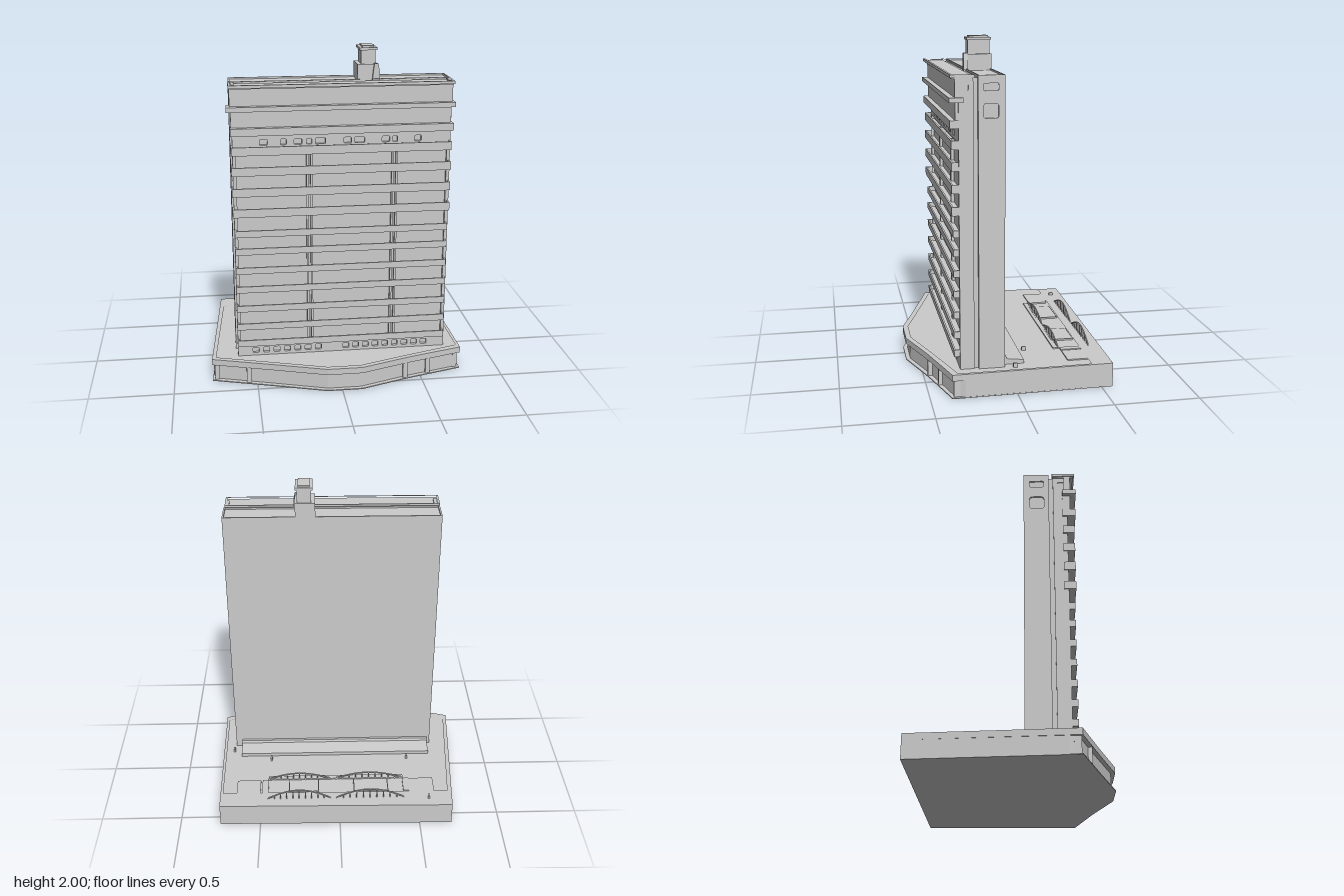
import * as THREE from 'three';

const mat = new THREE.MeshStandardMaterial({ color: 0xcccccc, flatShading: true });

function add(parent, name, geo) {
  const mesh = new THREE.Mesh(geo, mat);
  mesh.name = name;
  parent.add(mesh);
  return mesh;
}

// Box given by its limits on each axis
function box(parent, name, x0, x1, y0, y1, z0, z1) {
  const mesh = add(parent, name, new THREE.BoxGeometry(x1 - x0, y1 - y0, z1 - z0));
  mesh.position.set((x0 + x1) / 2, (y0 + y1) / 2, (z0 + z1) / 2);
  return mesh;
}

// Closed shape from pairs of coordinates
const poly = (pts, C = THREE.Shape) => new C(pts.map(([x, y]) => new THREE.Vector2(x, y)));
const rect = (x0, x1, y0, y1, C) => poly([[x0, y0], [x1, y0], [x1, y1], [x0, y1]], C);

// Rounded window opening
function opening(cx, cy, w, h) {
  const r = Math.min(w, h) * 0.2, a = w / 2, b = h / 2, p = new THREE.Path();
  p.moveTo(cx - a + r, cy - b);
  [[a, -b, a, -b + r, a, b - r], [a, b, a - r, b, -a + r, b],
    [-a, b, -a, b - r, -a, -b + r], [-a, -b, -a + r, -b, -a + r, -b]]
    .forEach(([qx, qy, ex, ey, lx, ly], i) => {
      if (i === 0) p.lineTo(cx + a - r, cy - b);
      p.quadraticCurveTo(cx + qx, cy + qy, cx + ex, cy + ey);
      p.lineTo(cx + lx, cy + ly);
    });
  return p;
}

const extrude = (shape, depth) =>
  new THREE.ExtrudeGeometry(shape, { depth, bevelEnabled: false, curveSegments: 3 });

// Plan outline (x, z) raised from y by a height, with optional inner outline cut out
function plan(parent, name, pts, y, height, hole) {
  const flip = ([x, z]) => [x, -z];
  const shape = poly(pts.map(flip));
  if (hole) shape.holes.push(poly(hole.map(flip), THREE.Path));
  const mesh = add(parent, name, extrude(shape, height).rotateX(-Math.PI / 2));
  mesh.position.y = y;
}

function buildPodium(g) {
  const outline = [[-0.70, -0.585], [0.75, -0.565], [0.765, 0.375], [0.42, 0.475],
    [0.12, 0.578], [-0.09, 0.578], [-0.42, 0.47], [-0.77, 0.36]];
  const wall = [[-0.70, -0.585], [0.75, -0.565], [0.762, 0.30], [0.735, 0.36], [0.41, 0.45],
    [0.115, 0.552], [-0.085, 0.552], [-0.41, 0.445], [-0.74, 0.34], [-0.76, 0.29]];
  const inner = [[-0.682, -0.45], [-0.59, -0.45], [0.65, -0.44], [0.735, -0.44], [0.745, 0.34],
    [0.41, 0.445], [0.115, 0.545], [-0.085, 0.545], [-0.41, 0.44], [-0.745, 0.335]];
  plan(g, 'podiumWall', wall, 0, 0.12);
  plan(g, 'podiumFoot', outline, 0, 0.006);
  plan(g, 'podiumDeck', outline, 0.106, 0.03);
  plan(g, 'podiumKerb', outline, 0.136, 0.007, inner);
  // Piers standing along the front edge
  for (const [x, z] of [[-0.55, 0.41], [0.40, 0.465], [0.55, 0.42], [-0.74, 0.345], [0.735, 0.355]])
    box(g, 'podiumPier', x - 0.014, x + 0.014, 0, 0.11, z - 0.03, z + 0.01);
}

function buildTerrace(g) {
  const top = 0.136;
  // Sloping lean-to roof against the back of the tower
  const lean = add(g, 'rearLeanTo', extrude(
    poly([[-0.06, top], [0.08, top], [0.08, 0.188], [0.045, 0.186], [0.04, 0.17], [-0.06, 0.158]]), 1.24)
    .rotateY(-Math.PI / 2));
  lean.position.x = 0.64;
  // Low edging of the sunken courts
  const frame = (name, x0, x1, z0, z1) => plan(g, name,
    [[x0, z0], [x1, z0], [x1, z1], [x0, z1]], top, 0.01,
    [[x0 + 0.006, z0 + 0.006], [x1 - 0.006, z0 + 0.006], [x1 - 0.006, z1 - 0.006], [x0 + 0.006, z1 - 0.006]]);
  frame('courtEdging', -0.31, -0.09, -0.44, -0.30);
  frame('courtEdging', 0.13, 0.32, -0.44, -0.30);
  box(g, 'terraceStep', -0.41, 0.45, top, top + 0.008, -0.312, -0.28);
  for (const [x0, x1] of [[-0.60, -0.44], [0.50, 0.65]])
    box(g, 'sideStep', x0, x1, top, top + 0.007, -0.45, -0.32);
  for (const [x0, x1] of [[-0.445, -0.405], [0.45, 0.49]])
    box(g, 'planter', x0, x1, top, top + 0.009, -0.44, -0.32);
  // Arched railings on posts
  const rail = (x0, x1, z, rise) => {
    const height = t => top + 0.012 + rise * Math.sin(Math.PI * t);
    const pts = [], n = 10;
    for (let i = 0; i <= n; i++) {
      const t = i / n, x = x0 + (x1 - x0) * t;
      pts.push(new THREE.Vector3(x, height(t), z));
      box(g, 'railingPost', x - 0.003, x + 0.003, top, height(t), z - 0.003, z + 0.003);
    }
    add(g, 'railing', new THREE.TubeGeometry(new THREE.CatmullRomCurve3(pts), 20, 0.005, 5));
  };
  rail(-0.40, 0.02, -0.50, 0.06);
  rail(0.06, 0.45, -0.50, 0.06);
  rail(-0.40, 0.02, -0.31, 0.04);
  rail(0.06, 0.45, -0.31, 0.04);
  // Small bollards
  for (const [x, z] of [[-0.56, -0.51], [0.69, 0], [-0.45, -0.1], [0.44, -0.1]])
    box(g, 'bollard', x - 0.006, x + 0.006, top, top + 0.025, z - 0.012, z + 0.012);
}

function buildRearSlab(g) {
  box(g, 'rearSlab', -0.61, 0.67, 0.1, 1.80, 0.06, 0.21);
  box(g, 'recessedJoint', -0.60, 0.66, 0.1, 1.795, 0.20, 0.24);
  // End walls with two openings high up
  for (const x of [0.68, -0.61]) {
    const shape = rect(0.06, 0.21, 0.1, 1.81);
    shape.holes.push(opening(0.138, 1.745, 0.085, 0.04), opening(0.138, 1.615, 0.085, 0.08));
    const end = add(g, 'rearEndWall', extrude(shape, 0.01).rotateY(-Math.PI / 2));
    end.position.x = x;
  }
  box(g, 'roofParapet', -0.62, 0.68, 1.79, 1.81, 0.06, 0.068);
  box(g, 'roofParapet', -0.62, 0.68, 1.79, 1.81, 0.202, 0.21);
}

function buildFrontSlab(g) {
  box(g, 'frontWall', -0.605, 0.665, 0.1, 1.795, 0.235, 0.30);
  // End walls, each with one opening near the top
  for (const x of [0.67, -0.59]) {
    const shape = rect(0.235, 0.317, 0.1, 1.81);
    shape.holes.push(opening(0.28, 1.745, 0.036, 0.035));
    const end = add(g, 'frontEndWall', extrude(shape, 0.02).rotateY(-Math.PI / 2));
    end.position.x = x;
  }
  // Paired vertical posts
  for (const x of [-0.165, 0.34])
    for (const s of [-0.012, 0.012])
      box(g, 'facadePost', x + s - 0.006, x + s + 0.006, 0.2, 1.42, 0.29, 0.318);
  // Pierced strips: ground floor and upper floor windows
  const strip = (name, y0, y1, cy, h, wins) => {
    const shape = rect(-0.605, 0.665, y0, y1);
    for (const [x, w] of wins) shape.holes.push(opening(x, cy, w, h));
    add(g, name, extrude(shape, 0.017)).position.z = 0.30;
  };
  const ground = [];
  for (let i = 0; i < 7; i++) ground.push([-0.50 + i * 0.064, 0.037]);
  for (let i = 0; i < 9; i++) ground.push([0.055 + i * 0.061, 0.037]);
  strip('groundWindowStrip', 0.13, 0.215, 0.17, 0.034, ground);
  strip('upperWindowStrip', 1.44, 1.53, 1.473, 0.034,
    [[-0.43, 0.045], [-0.315, 0.035], [-0.23, 0.045], [-0.165, 0.03], [-0.1, 0.06],
      [0.06, 0.045], [0.13, 0.06], [0.285, 0.045], [0.34, 0.028], [0.475, 0.04]]);
  // Balcony bands: hollow trough with a floor and an upright front
  const bands = [0.23, 0.34, 0.457, 0.58, 0.70, 0.82, 0.93, 1.06, 1.185, 1.31, 1.43];
  bands.forEach((y, i) => {
    const out = i > 6 ? 0.008 : 0, front = 0.35 + out, h = i > 6 ? 0.025 : 0.02;
    const band = add(g, 'balconyBand', extrude(poly([[0.29, y - h], [front, y - h], [front, y + h],
      [front - 0.01, y + h], [front - 0.01, y - h + 0.012], [0.29, y - h + 0.012]]), 1.27 + 2 * out)
      .rotateY(-Math.PI / 2));
    band.position.x = 0.66 + out;
    for (const x of [-0.61 - out, 0.65 + out])
      box(g, 'balconyEnd', x, x + 0.01, y - h, y + h, 0.29, front);
  });
}

function buildCrown(g) {
  // Plain upper panels with projecting ledges
  box(g, 'lowerCrownPanel', -0.615, 0.665, 1.56, 1.67, 0.29, 0.335);
  box(g, 'upperCrownPanel', -0.62, 0.67, 1.69, 1.80, 0.30, 0.337);
  box(g, 'crownLedge', -0.62, 0.675, 1.522, 1.566, 0.29, 0.366);
  box(g, 'crownLedge', -0.64, 0.682, 1.662, 1.69, 0.29, 0.37);
  // Roof lip around the front roof
  plan(g, 'frontRoofLip', [[-0.625, 0.23], [0.675, 0.23], [0.675, 0.363], [-0.625, 0.363]], 1.796, 0.017,
    [[-0.612, 0.238], [0.662, 0.238], [0.662, 0.35], [-0.612, 0.35]]);
  box(g, 'frontRoof', -0.615, 0.668, 1.79, 1.803, 0.235, 0.355);
}

function buildPenthouse(g) {
  box(g, 'penthouseBase', 0.13, 0.25, 1.78, 1.895, 0.06, 0.21);
  // Sloping flue beside the base
  const flue = add(g, 'flue', extrude(
    poly([[0.215, 1.79], [0.262, 1.79], [0.258, 1.86], [0.25, 1.90], [0.228, 1.90], [0.222, 1.86]]), 0.025));
  flue.position.z = 0.20;
  box(g, 'penthouseTower', 0.153, 0.237, 1.89, 1.985, 0.07, 0.197);
  box(g, 'penthouseCap', 0.143, 0.247, 1.975, 1.99, 0.063, 0.205);
  box(g, 'penthouseHatch', 0.16, 0.23, 1.985, 2.0, 0.078, 0.19);
}

export function createModel() {
  const model = new THREE.Group();
  model.name = 'towerBlock';
  const parts = { podium: buildPodium, terrace: buildTerrace, rearBlock: buildRearSlab,
    frontBlock: buildFrontSlab, crown: buildCrown, penthouse: buildPenthouse };
  for (const [name, build] of Object.entries(parts)) {
    const group = new THREE.Group();
    group.name = name;
    build(group);
    model.add(group);
  }
  return model;
}
